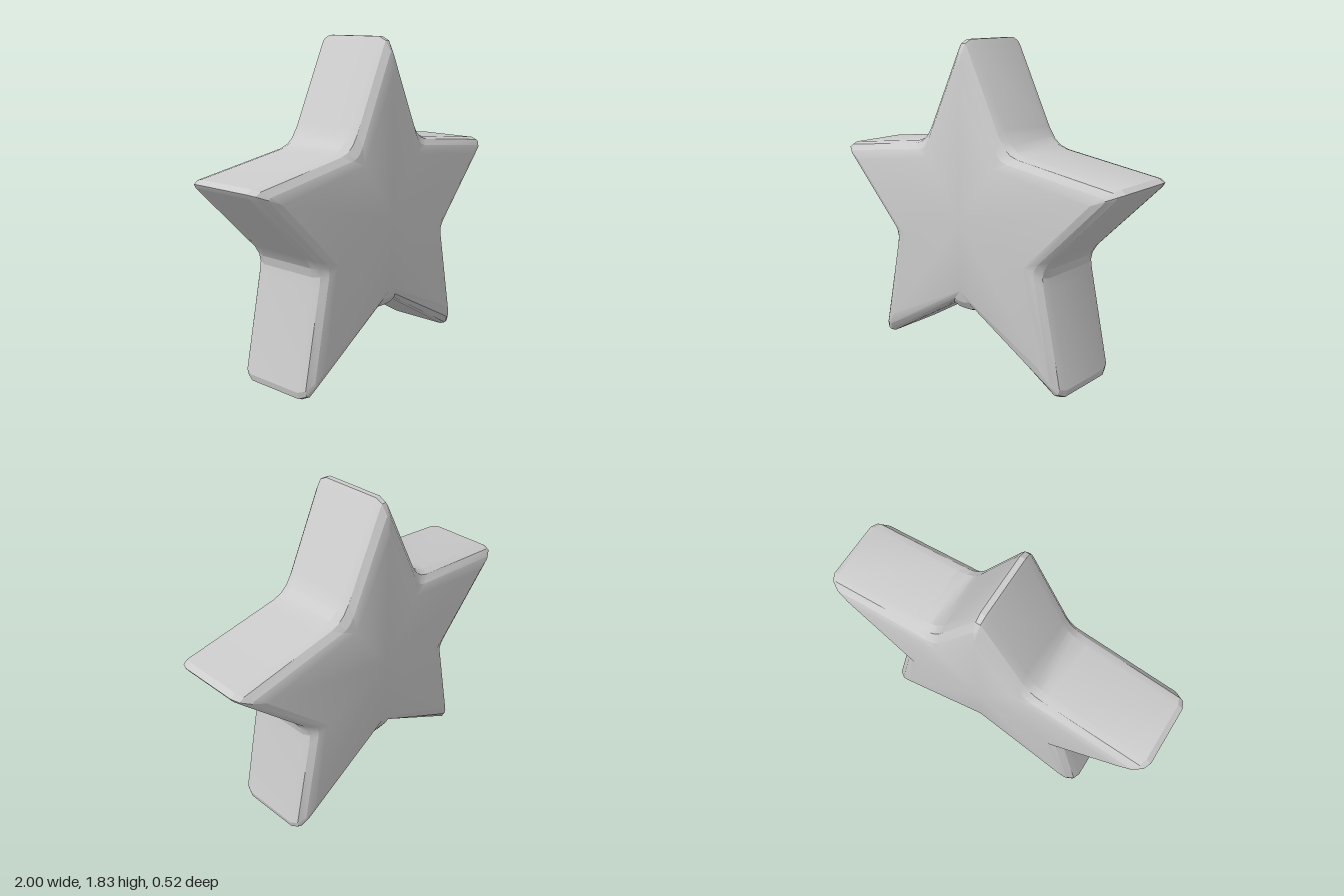
import * as THREE from 'three';
import { toCreasedNormals } from 'three/addons/utils/BufferGeometryUtils.js';

// Right half of the outline, bottom to top: each corner of the flat face
// with the rounded run of wall points that surrounds it.
const corners = [
  { face: [0, 0.45], wall: [[0, 0.32], [0.05, 0.322], [0.1, 0.338]] },
  { face: [0.57, 0.16], wall: [[0.655, 0], [0.682, 0.012], [0.69, 0.05]] },
  { face: [0.46, 0.69], wall: [[0.573, 0.58], [0.564, 0.64], [0.575, 0.69], [0.61, 0.745]] },
  { face: [0.86, 1.09], wall: [[0.985, 1.125], [1, 1.15], [0.97, 1.17]] },
  { face: [0.24, 1.175], wall: [[0.4, 1.245], [0.34, 1.265], [0.295, 1.3], [0.25, 1.365]] },
  { face: [0, 1.66], wall: [[0.035, 1.795], [0.015, 1.825]] },
];

// Bevel profile: inset from wall (0) to face (1), and depth
const bevel = [[0, 0.17], [0.13, 0.213], [0.48, 0.243], [1, 0.258]];

function starGeometry() {
  const half = corners.flatMap(c => c.wall.map(w => ({ w, f: c.face })));
  const flip = ([x, y]) => [-x, y];
  const mirrored = half.slice(1).reverse().map(p => ({ w: flip(p.w), f: flip(p.f) }));
  const outline = [...half, ...mirrored];
  const n = outline.length;

  // Rings from back face to front face
  const levels = [...bevel.map(([t, z]) => [t, -z]).reverse(), ...bevel];
  const rings = levels.map(([t, z]) => outline.map(({ w, f }) =>
    new THREE.Vector3(w[0] + (f[0] - w[0]) * t, w[1] + (f[1] - w[1]) * t, z)));

  const positions = [];
  const tri = (a, b, c) => {
    if (a.distanceTo(b) < 1e-6 || b.distanceTo(c) < 1e-6 || c.distanceTo(a) < 1e-6) return;
    for (const p of [a, b, c]) positions.push(p.x, p.y, p.z);
  };
  const last = rings.length - 1;
  const back = new THREE.Vector3(0, 0.85, levels[0][1]);
  const front = new THREE.Vector3(0, 0.85, levels[last][1]);
  for (let i = 0; i < n; i++) {
    const k = (i + 1) % n;
    for (let j = 0; j < last; j++) {
      tri(rings[j][i], rings[j][k], rings[j + 1][k]);
      tri(rings[j][i], rings[j + 1][k], rings[j + 1][i]);
    }
    // Flat faces
    tri(front, rings[last][i], rings[last][k]);
    tri(back, rings[0][k], rings[0][i]);
  }
  const geometry = new THREE.BufferGeometry();
  geometry.setAttribute('position', new THREE.Float32BufferAttribute(positions, 3));
  return toCreasedNormals(geometry, Math.PI / 9);
}

export function createModel() {
  const group = new THREE.Group();
  group.name = 'star';
  const body = new THREE.Mesh(starGeometry(), new THREE.MeshStandardMaterial({ color: 0xcccccc }));
  body.name = 'starBody';
  group.add(body);
  return group;
}
